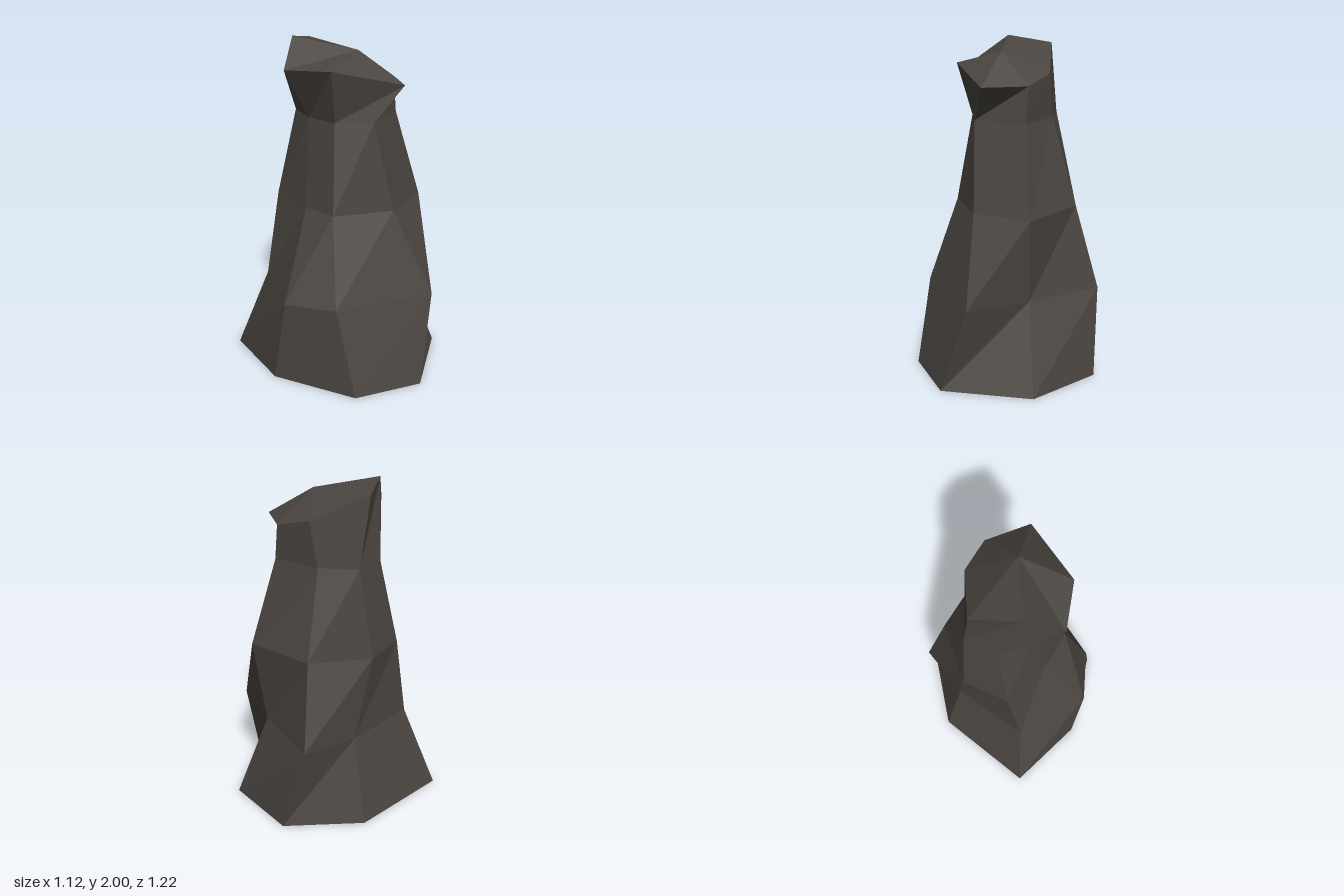
import * as THREE from 'three';

// Seven-sided cross-sections, counter-clockwise from the front left, as [x, z]
const RINGS = [
  { y: 0, pts: [[-0.45, 0.39], [-0.095, 0.61], [0.41, 0.39], [0.555, -0.065], [0.26, -0.46], [-0.37, -0.61], [-0.555, -0.14]] },
  { y: 0.52, pts: [[-0.45, 0.25], [0.07, 0.57], [0.28, 0.24], [0.5, -0.19], [0.19, -0.34], [-0.28, -0.42], [-0.56, -0.04]] },
  { y: 1.03, pts: [[-0.315, 0.13], [-0.03, 0.35], [0.325, 0.3], [0.37, -0.13], [0.11, -0.4], [-0.18, -0.4], [-0.29, -0.09]] },
  { y: 1.55, pts: [[-0.23, 0.08], [-0.09, 0.25], [0.22, 0.19], [0.22, -0.1], [0.12, -0.31], [-0.09, -0.32], [-0.21, -0.12]] },
];
// Uneven rim of the head, as [x, y, z], and its peak
const RIM = [[-0.31, 1.855, 0.12], [0.04, 1.755, 0.365], [0.223, 1.755, 0.17], [0.228, 1.81, -0.05],
  [0.063, 1.96, -0.337], [-0.192, 2, -0.248], [-0.385, 1.845, -0.15]];
const PEAK = [-0.015, 1.93, 0.085];

// Triangles between two rings, split along the same diagonal all round
function band(lower, upper, out) {
  const n = lower.length;
  for (let i = 0; i < n; i++) {
    const j = (i + 1) % n;
    out.push(lower[i], lower[j], upper[j], lower[i], upper[j], upper[i]);
  }
}

// Fan of triangles from a ring to a centre point
function fan(ring, centre, out, down) {
  ring.forEach((p, i) => {
    const q = ring[(i + 1) % ring.length];
    out.push(...(down ? [q, p, centre] : [p, q, centre]));
  });
}

function makeMesh(name, corners, material) {
  const geometry = new THREE.BufferGeometry();
  geometry.setAttribute('position', new THREE.Float32BufferAttribute(corners.flat(), 3));
  geometry.computeVertexNormals();
  const mesh = new THREE.Mesh(geometry, material);
  mesh.name = name;
  return mesh;
}

export function createModel() {
  const group = new THREE.Group();
  group.name = 'rockPillar';
  const stone = new THREE.MeshStandardMaterial({ color: 0x4a4540 });
  stone.name = 'darkStone';
  stone.flatShading = true;

  const rings = RINGS.map(({ y, pts }) => pts.map(([x, z]) => [x, y, z]));

  // Twisting shaft with a closed base
  const shaft = [];
  fan(rings[0], [0, 0, 0], shaft, true);
  for (let k = 0; k < rings.length - 1; k++) band(rings[k], rings[k + 1], shaft);
  group.add(makeMesh('shaft', shaft, stone));

  // Overhanging faceted head
  const head = [];
  band(rings[3], RIM, head);
  fan(RIM, PEAK, head, false);
  group.add(makeMesh('head', head, stone));

  return group;
}
